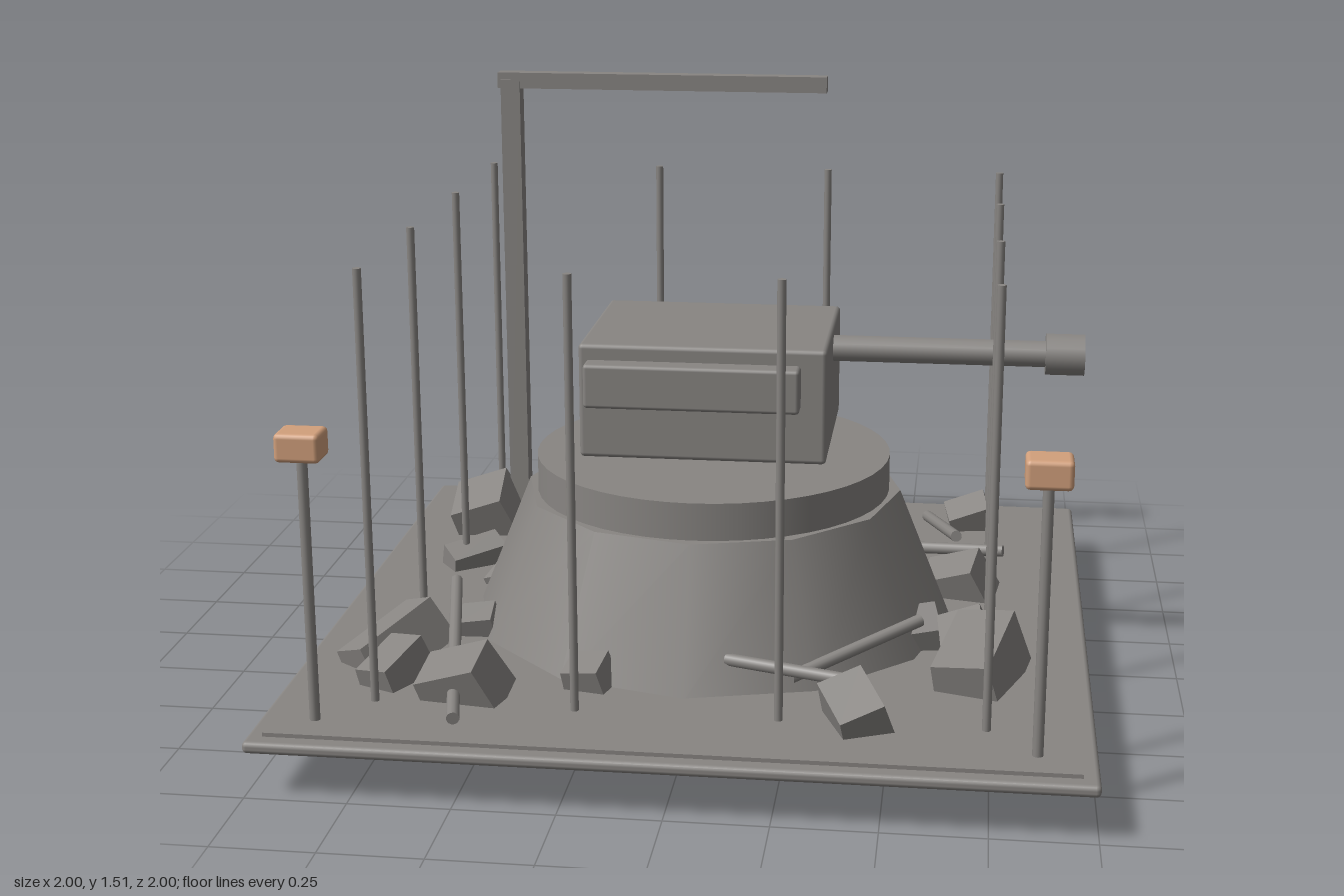
import * as THREE from 'three';
import { RoundedBoxGeometry } from 'three/addons/geometries/RoundedBoxGeometry.js';

export function createModel() {
  const model = new THREE.Group();
  model.name = 'gunEmplacement';
  const stone = new THREE.MeshStandardMaterial({ name: 'warm grey', color: 0x888582 });
  const amber = new THREE.MeshStandardMaterial({ name: 'pale orange', color: 0xd2a07c });

  const add = (name, geo, x, y, z, mat = stone, parent = model) => {
    const mesh = new THREE.Mesh(geo, mat);
    mesh.name = name;
    mesh.position.set(x, y, z);
    parent.add(mesh);
    return mesh;
  };
  const rounded = (w, h, d, r = 0.01) => new RoundedBoxGeometry(w, h, d, 2, r);
  // Round bar between two points
  const bar = (name, a, b, r, parent = model) => {
    const p = new THREE.Vector3(...a), q = new THREE.Vector3(...b);
    const dir = q.clone().sub(p);
    const mid = p.clone().add(q).multiplyScalar(0.5);
    const mesh = add(name, new THREE.CylinderGeometry(r, r, dir.length(), 12), mid.x, mid.y, mid.z, stone, parent);
    mesh.quaternion.setFromUnitVectors(new THREE.Vector3(0, 1, 0), dir.normalize());
  };

  // Ground slab with a thin raised layer
  add('groundSlab', rounded(2, 0.03, 2, 0.012), 0, 0.135, 0);
  add('groundLayer', new THREE.BoxGeometry(1.92, 0.014, 1.92), 0, 0.153, 0);

  // Mound and the ring on its top
  add('mound', new THREE.CylinderGeometry(0.5, 0.645, 0.36, 12), 0, 0.33, 0);
  add('turretRing', new THREE.CylinderGeometry(0.47, 0.47, 0.1, 48), 0, 0.557, 0);

  // Turret, front panel and gun
  add('turretBody', rounded(0.635, 0.3, 0.51, 0.012), 0, 0.8, 0);
  add('turretPanel', rounded(0.55, 0.115, 0.07), -0.023, 0.852, 0.273);
  bar('gunBarrel', [0.3, 0.895, 0], [0.9, 0.895, 0], 0.035);
  bar('gunMuzzle', [0.867, 0.895, 0], [0.967, 0.895, 0], 0.055);

  // Gantry at the back
  add('gantryPost', new THREE.BoxGeometry(0.056, 1.35, 0.054), -0.668, 0.825, -0.663);
  add('gantryArm', new THREE.BoxGeometry(0.95, 0.045, 0.047), -0.23, 1.498, -0.663);

  // Thin poles around the edge of a four by four grid
  const steps = [-0.745, -0.25, 0.245, 0.74];
  steps.forEach((x, i) => steps.forEach((z, j) => {
    if (i % 3 && j % 3) return;
    bar('fencePole', [x, 0.15, z], [x, 1.24, z], 0.0105);
  }));

  // Lamps on the front corners
  for (const s of [-1, 1]) {
    bar('lampPost', [s * 0.858, 0.15, 0.868], [s * 0.858, 0.84, 0.868], 0.013);
    add('lampHead', rounded(0.108, 0.07, 0.09, 0.012), s * 0.858, 0.848, 0.868, amber);
  }

  // Rubble block, narrowed slightly towards its top
  const rubble = new THREE.Group();
  rubble.name = 'rubble';
  model.add(rubble);
  const block = (x, y, z, w, h, d, yaw, pitch, roll) => {
    const geo = new THREE.BoxGeometry(w, h, d);
    const p = geo.attributes.position;
    for (let i = 0; i < p.count; i++) {
      if (p.getY(i) > 0) p.setXYZ(i, p.getX(i) * 0.88, p.getY(i), p.getZ(i) * 0.92);
    }
    geo.computeVertexNormals();
    add('rubbleBlock', geo, x, y, z, stone, rubble).rotation.set(pitch, yaw, roll, 'YXZ');
  };

  // Scattered blocks: x, z, width, depth, yaw; height and tilt follow from these
  const blocks = [
    [-0.75, -0.58, 0.18, 0.19, 0.08],
    [-0.67, -0.74, 0.21, 0.1, 0.08],
    [-0.28, -0.55, 0.28, 0.17, 0.2],
    [-0.46, -0.64, 0.12, 0.1, -0.4],
    [0.04, -0.74, 0.28, 0.18, 0.3],
    [0.34, -0.76, 0.24, 0.11, -0.75],
    [0.69, -0.76, 0.14, 0.11, 0.2],
    [0.25, -0.57, 0.08, 0.09, -0.3],
    [0.66, -0.18, 0.17, 0.13, -0.2],
    [-0.72, -0.26, 0.18, 0.09, 0.65],
    [-0.6, -0.14, 0.07, 0.13, -0.3],
    [-0.59, 0.26, 0.1, 0.09, 0.05],
    [-0.77, 0.45, 0.13, 0.27, -0.6],
    [-0.73, 0.6, 0.11, 0.17, -0.4],
    [-0.54, 0.68, 0.19, 0.14, -0.12],
    [-0.24, 0.585, 0.11, 0.1, -0.2],
    [0.43, 0.74, 0.13, 0.17, 0.45],
    [0.72, 0.43, 0.17, 0.26, -0.28],
    [0.69, 0.27, 0.13, 0.15, 0.1],
    [0.57, 0.2, 0.11, 0.13, 0.2],
  ];
  blocks.forEach(([x, z, w, d, yaw], i) => {
    const h = 0.03 + 0.75 * Math.min(w, d);
    block(x, 0.13 + 0.45 * h, z, w, h, d, yaw, 0.3, i % 2 ? 0.15 : 0.35);
  });
  // Long block sunk through the slab
  block(-0.36, 0.145, -0.78, 0.15, 0.16, 0.31, -0.42, 0.2, -0.6);

  // Loose bars lying among the rubble
  bar('looseBar', [-0.69, 0.24, 0.1], [-0.52, 0.18, 0.87], 0.016, rubble);
  bar('looseBar', [0.56, 0.2, -0.72], [0.65, 0.28, -0.31], 0.016, rubble);
  bar('looseBar', [0.1, 0.24, 0.57], [0.42, 0.24, 0.67], 0.016, rubble);
  bar('looseBar', [0.26, 0.2, 0.57], [0.57, 0.28, 0.35], 0.016, rubble);
  bar('looseBar', [0.5, 0.25, -0.29], [0.78, 0.27, -0.23], 0.016, rubble);

  return model;
}
